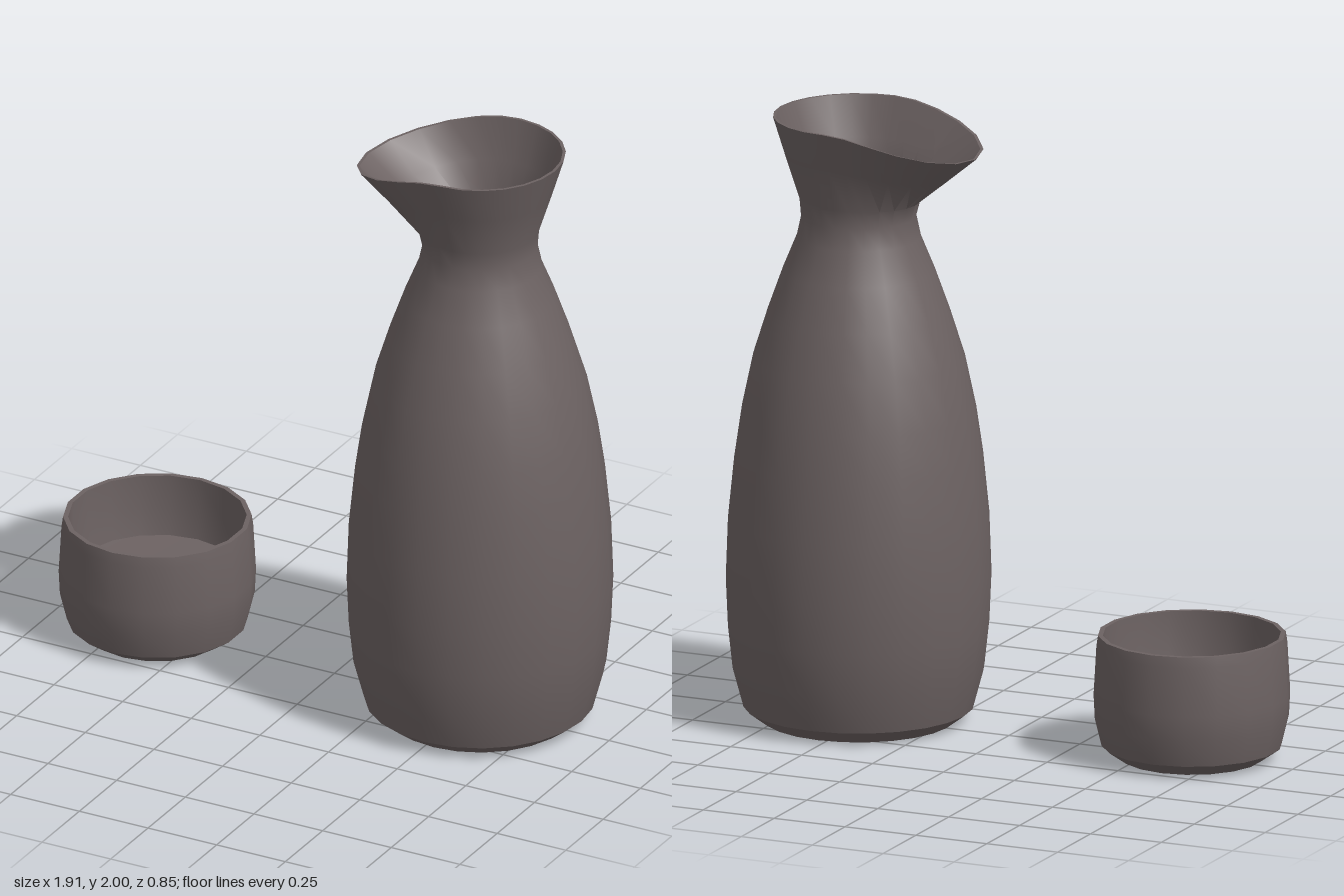
import * as THREE from 'three';
import { toCreasedNormals } from 'three/addons/utils/BufferGeometryUtils.js';

// Turned vessel from [radius, height] pairs: up the outside, over the rim, down the inside
function turned(points, segments) {
  return new THREE.LatheGeometry(points.map(([r, y]) => new THREE.Vector2(r, y)), segments);
}

// Pull the flared mouth out and down into a pouring spout on the -x side
function pullSpout(geometry, fromY, toY) {
  const p = geometry.attributes.position;
  for (let i = 0; i < p.count; i++) {
    const x = p.getX(i), y = p.getY(i), z = p.getZ(i);
    const r = Math.hypot(x, z);
    if (y <= fromY || r === 0 || x >= 0) continue;
    const t = (y - fromY) / (toY - fromY);
    const c = (x / r) ** 2;
    const s = 1 + (0.14 * t * c) / r;
    p.setXYZ(i, x * s, y - 0.1 * t * c, z * s);
  }
  return geometry;
}

export function createModel() {
  const group = new THREE.Group();
  const clay = new THREE.MeshStandardMaterial({ color: 0x6c6262 });
  clay.name = 'brown grey clay';

  const add = (name, geometry, x) => {
    const mesh = new THREE.Mesh(toCreasedNormals(geometry, 0.6), clay);
    mesh.name = name;
    mesh.position.x = x;
    group.add(mesh);
  };

  // Flask: rounded body, narrow neck, flared mouth and hollow inside
  const flask = turned([
    [0, 0.005], [0.31, 0.005], [0.37, 0.05], [0.405, 0.18], [0.42, 0.32], [0.427, 0.48],
    [0.42, 0.68], [0.4, 0.88], [0.378, 1.03], [0.342, 1.2], [0.295, 1.35], [0.245, 1.49],
    [0.2, 1.6], [0.185, 1.67], [0.19, 1.73], [0.235, 1.87], [0.275, 2],
    [0.265, 2], [0.218, 1.87], [0.165, 1.73], [0.16, 1.62], [0.225, 1.47], [0.32, 1.2],
    [0.38, 0.88], [0.4, 0.48], [0.36, 0.08], [0, 0.06],
  ], 24);
  add('flask', pullSpout(flask, 1.71, 2), 0.53);

  // Small drinking cup with a raised floor
  add('cup', turned([
    [0, 0.005], [0.23, 0.008], [0.29, 0.05], [0.312, 0.14], [0.316, 0.22], [0.307, 0.38], [0.302, 0.415],
    [0.286, 0.415], [0.282, 0.3], [0.27, 0.21], [0, 0.2],
  ], 18), -0.645);

  return group;
}
